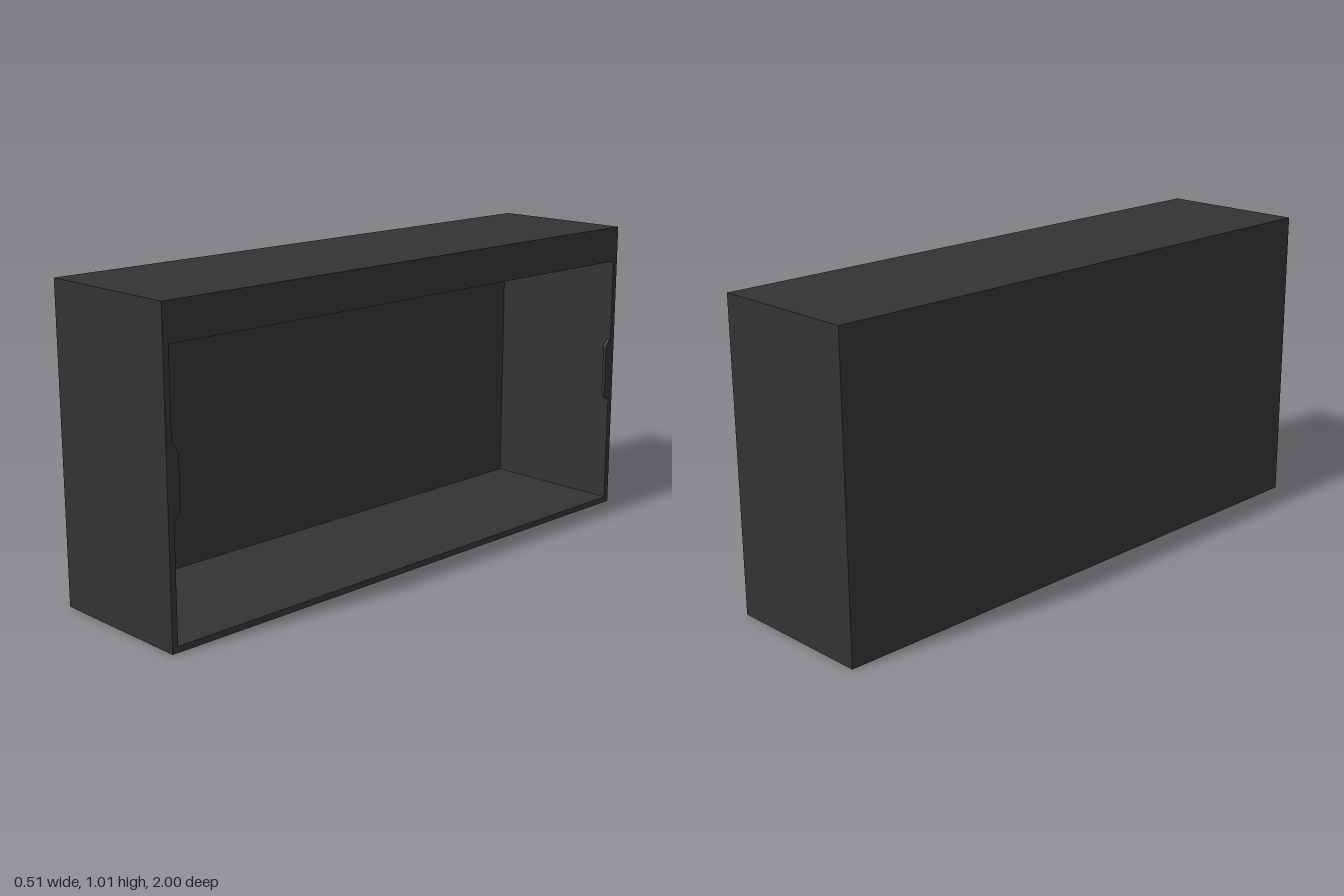
import * as THREE from 'three';

const W = 0.253, H = 1.01;

// rectangular cross-section at x, counter-clockwise seen from +x
const section = (x, z, y0, y1) => [[x, y0, z], [x, y0, -z], [x, y1, -z], [x, y1, z]];

// open box lofted from the outer back, round the rim, to the cavity's inner wall
function shellGeometry() {
  const rings = [
    section(-W, 1, 0, H),
    section(W, 1, 0, H),
    section(W, 0.98, 0.02, 0.89),
    section(-W + 0.018, 0.965, 0.025, 0.887),
  ];
  const pos = [];
  const quad = (a, b, c, d) => pos.push(...a, ...b, ...c, ...a, ...c, ...d);
  for (let r = 0; r < rings.length - 1; r++) {
    for (let i = 0; i < 4; i++) {
      const j = (i + 1) % 4;
      quad(rings[r][i], rings[r][j], rings[r + 1][j], rings[r + 1][i]);
    }
  }
  quad(...[...rings[0]].reverse()); // outer back
  quad(...rings[3]); // inner wall
  const geo = new THREE.BufferGeometry();
  geo.setAttribute('position', new THREE.Float32BufferAttribute(pos, 3));
  geo.computeVertexNormals();
  return geo;
}

// thin chamfered retaining tab, drawn with u = -z and v = y, extruded along x
function tabGeometry() {
  const shape = new THREE.Shape();
  shape.moveTo(-0.985, 0.39);
  shape.lineTo(-0.978, 0.39);
  shape.quadraticCurveTo(-0.958, 0.4, -0.957, 0.425);
  shape.lineTo(-0.957, 0.575);
  shape.quadraticCurveTo(-0.958, 0.6, -0.978, 0.61);
  shape.lineTo(-0.985, 0.61);
  const geo = new THREE.ExtrudeGeometry(shape, { depth: 0.012, bevelEnabled: false, curveSegments: 4 });
  return geo.rotateY(Math.PI / 2);
}

export function createModel() {
  const group = new THREE.Group();
  group.name = 'openBox';
  const charcoal = new THREE.MeshStandardMaterial({ color: 0x333333 });
  charcoal.name = 'charcoal';

  const shell = new THREE.Mesh(shellGeometry(), charcoal);
  shell.name = 'shell';
  group.add(shell);

  // one tab at each end of the opening
  for (const end of ['front', 'back']) {
    const tab = new THREE.Mesh(tabGeometry(), charcoal);
    tab.name = end + 'Tab';
    if (end === 'back') {
      tab.rotation.x = Math.PI; // symmetric about y = 0.5
      tab.position.y = 1;
    }
    tab.position.x = W - 0.0122;
    group.add(tab);
  }
  return group;
}
